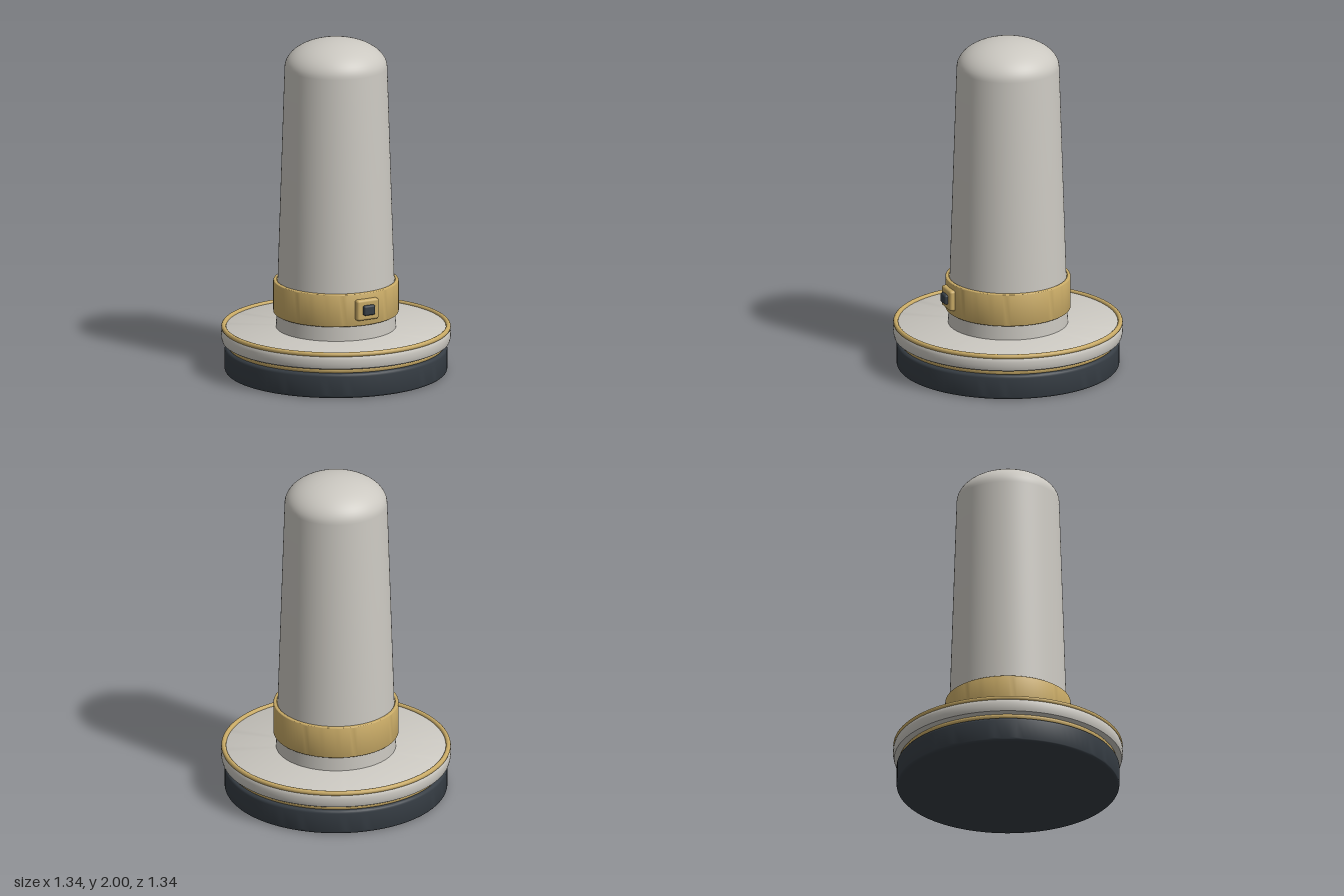
import * as THREE from 'three';
import { toCreasedNormals } from 'three/addons/utils/BufferGeometryUtils.js';
import { RoundedBoxGeometry } from 'three/addons/geometries/RoundedBoxGeometry.js';

const material = (name, color) => {
  const m = new THREE.MeshStandardMaterial({ color });
  m.name = name;
  return m;
};

export function createModel() {
  const model = new THREE.Group();
  model.name = 'beaconLamp';
  const shell = material('warm grey shell', 0xcbc8c1);
  const brass = material('brass trim', 0xc8aa66);
  const rubber = material('dark rubber', 0x363d44);

  const add = (name, geometry, mat, x = 0, y = 0, z = 0) => {
    const mesh = new THREE.Mesh(geometry, mat);
    mesh.name = name;
    mesh.position.set(x, y, z);
    model.add(mesh);
    return mesh;
  };

  // Turned part from [radius, height] points listed bottom to top
  const turn = (points) => toCreasedNormals(
    new THREE.LatheGeometry(points.map(([r, y]) => new THREE.Vector2(r, y)), 96), 0.6);

  // Quarter-round corner of a profile
  const corner = (r, y, b, start) => Array.from({ length: 6 }, (_, i) => {
    const a = start + (i / 5) * Math.PI / 2;
    return [r + b * Math.cos(a), y + b * Math.sin(a)];
  });

  // Solid disc with rounded rims
  const disc = (r, y0, y1, b) => turn([
    [0, y0],
    ...corner(r - b, y0 + b, b, -Math.PI / 2),
    ...corner(r - b, y1 - b, b, 0),
    [0, y1],
  ]);

  // Base and flange
  add('base', disc(0.65, 0, 0.15, 0.02), rubber);
  add('lowerTrim', disc(0.635, 0.148, 0.179, 0.012), brass);
  add('flange', turn([
    [0, 0.178], [0.655, 0.178], [0.664, 0.184], [0.667, 0.195], [0.67, 0.21],
    [0.67, 0.235], [0.667, 0.25], [0.66, 0.262], [0.65, 0.267], [0, 0.267],
  ]), shell);
  const rim = new THREE.TorusGeometry(0.655, 0.0145, 12, 96);
  rim.rotateX(Math.PI / 2);
  add('flangeRim', rim, brass, 0, 0.267, 0);

  // Tapered body with an elliptical dome
  const dome = Array.from({ length: 17 }, (_, i) => {
    const a = (i / 16) * Math.PI / 2;
    return [i === 16 ? 0 : 0.3 * Math.cos(a), 1.83 + 0.17 * Math.sin(a)];
  });
  add('body', turn([[0.35, 0.26], ...dome]), shell);

  // Collar around the lower body
  const b = 0.009;
  add('collar', turn([
    [0.335, 0.355],
    ...corner(0.366 - b, 0.355 + b, b, -Math.PI / 2),
    ...corner(0.366 - b, 0.552 - b, b, 0),
    [0.346, 0.552], [0.342, 0.546], [0.335, 0.53],
  ]), brass);

  // Front button on its plate
  add('buttonPlate', new RoundedBoxGeometry(0.145, 0.125, 0.05, 4, 0.015), brass, 0, 0.455, 0.366);
  add('button', new RoundedBoxGeometry(0.075, 0.06, 0.04, 4, 0.012), rubber, 0, 0.455, 0.391);

  return model;
}
